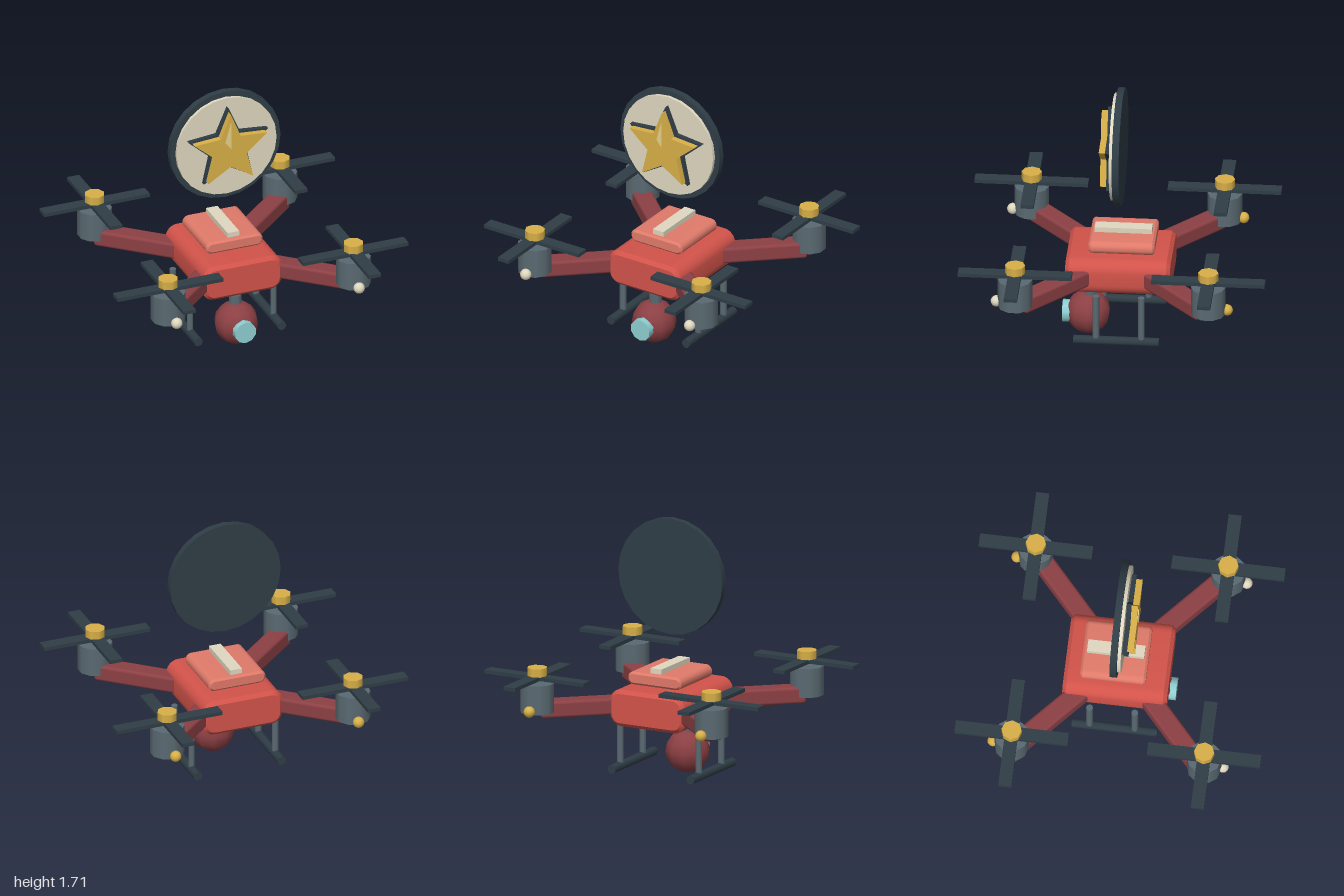
import * as THREE from 'three';
import { toCreasedNormals } from 'three/addons/utils/BufferGeometryUtils.js';
import { RoundedBoxGeometry } from 'three/addons/geometries/RoundedBoxGeometry.js';

const paint = (color) => new THREE.MeshStandardMaterial({ color });
const red = paint(0xd2534a), darkRed = paint(0x8c4044), coral = paint(0xe07a6a);
const dark = paint(0x2f3d46), steel = paint(0x5a6a72), gold = paint(0xd9b048);
const cream = paint(0xe0d8c0), glass = paint(0x8fcfd2), pale = paint(0xe6d28c);

function add(parent, name, geometry, material, x = 0, y = 0, z = 0) {
  const mesh = new THREE.Mesh(geometry, material);
  mesh.name = name;
  mesh.position.set(x, y, z);
  parent.add(mesh);
  return mesh;
}

// Cylinder lying along z
const rod = (r, length, sides) =>
  new THREE.CylinderGeometry(r, r, length, sides).rotateX(Math.PI / 2);

// Block with rounded profile in xy and bevelled front and back
function roundedBlock(w, h, d, radius, bevel) {
  const x = w / 2 - bevel, y = h / 2 - bevel, r = radius - bevel;
  const s = new THREE.Shape();
  s.absarc(x - r, y - r, r, 0, Math.PI / 2);
  s.absarc(r - x, y - r, r, Math.PI / 2, Math.PI);
  s.absarc(r - x, r - y, r, Math.PI, Math.PI * 1.5);
  s.absarc(x - r, r - y, r, Math.PI * 1.5, Math.PI * 2);
  const g = new THREE.ExtrudeGeometry(s, {
    depth: d - 2 * bevel, curveSegments: 3,
    bevelThickness: bevel, bevelSize: bevel, bevelSegments: 1,
  });
  return toCreasedNormals(g.translate(0, 0, bevel - d / 2), 0.6);
}

// Five-pointed star slab starting at z = 0
function star(outer, inner, depth) {
  const points = [];
  for (let i = 0; i < 10; i++) {
    const a = Math.PI / 2 + (i * Math.PI) / 5, r = i % 2 ? inner : outer;
    points.push(new THREE.Vector2(r * Math.cos(a), r * Math.sin(a)));
  }
  return new THREE.ExtrudeGeometry(new THREE.Shape(points), { depth, bevelEnabled: false });
}

// Arm, motor, propeller and marker light at one corner
function createRotor(sx, sz) {
  const g = new THREE.Group();
  g.name = 'rotorArm';
  const x = sx * 0.637, z = sz * 0.617;
  const dx = sx * 0.436, dz = sz * 0.391;
  const arm = add(g, 'arm', new RoundedBoxGeometry(0.127, 0.11, Math.hypot(dx, dz), 2, 0.02),
    darkRed, sx * 0.418, 0.512, sz * 0.392);
  arm.rotation.y = Math.atan2(dx, dz);
  add(g, 'motor', new THREE.CylinderGeometry(0.111, 0.111, 0.19, 10), steel, x, 0.595, z);
  add(g, 'bladePairAcross', new THREE.BoxGeometry(0.725, 0.024, 0.084), dark, x, 0.725, z);
  add(g, 'bladePairAlong', new THREE.BoxGeometry(0.084, 0.024, 0.725), dark, x, 0.725, z);
  add(g, 'hubCap', new THREE.CylinderGeometry(0.065, 0.065, 0.055, 8), gold, x, 0.763, z);
  add(g, 'markerLight', new THREE.SphereGeometry(0.037, 12, 8), sz > 0 ? cream : gold,
    sx * 0.627, 0.523, sz * 0.737);
  return g;
}

// Skid rail with two struts
function createSkid(side) {
  const g = new THREE.Group();
  g.name = 'landingSkid';
  const x = side * 0.287;
  add(g, 'rail', rod(0.03, 0.546, 8), dark, x, 0.087, 0);
  for (const z of [0.13, -0.16])
    add(g, 'strut', new THREE.CylinderGeometry(0.022, 0.022, 0.32, 8), steel, x, 0.243, z);
  return g;
}

// Ball camera on a short mount
function createCameraPod() {
  const g = new THREE.Group();
  g.name = 'cameraPod';
  add(g, 'mount', new THREE.CylinderGeometry(0.043, 0.043, 0.11, 8), steel, 0, 0.285, 0.19);
  add(g, 'ball', new THREE.SphereGeometry(0.143, 10, 8), darkRed, 0, 0.143, 0.203);
  add(g, 'lens', rod(0.073, 0.09, 10), glass, 0, 0.14, 0.32);
  return g;
}

// Round badge with layered star, hovering above the body
function createBadge() {
  const g = new THREE.Group();
  g.name = 'badge';
  g.position.y = 1.333;
  add(g, 'backDisc', rod(0.38, 0.044, 24), dark);
  add(g, 'faceDisc', rod(0.344, 0.024, 24), cream, 0, 0, 0.032);
  add(g, 'starBorder', star(0.287, 0.133, 0.032), dark, 0, 0, 0.043);
  add(g, 'star', star(0.261, 0.116, 0.042), gold, 0, 0, 0.074);
  const sliver = new THREE.Shape([[0, 0.2], [-0.038, 0.062], [0, 0.015]]
    .map(([x, y]) => new THREE.Vector2(x, y)));
  add(g, 'starHighlight', new THREE.ExtrudeGeometry(sliver, { depth: 0.006, bevelEnabled: false }),
    pale, 0, 0, 0.116);
  return g;
}

export function createModel() {
  const model = new THREE.Group();
  model.name = 'quadcopter';
  add(model, 'body', roundedBlock(0.545, 0.24, 0.67, 0.08, 0.024), red, 0, 0.512, -0.005);
  add(model, 'hatch', roundedBlock(0.39, 0.084, 0.42, 0.04, 0.014), coral, 0, 0.692, -0.024);
  add(model, 'hatchStrip', new THREE.BoxGeometry(0.08, 0.035, 0.366), cream, 0, 0.75, -0.024);
  for (const sx of [1, -1]) {
    for (const sz of [1, -1]) model.add(createRotor(sx, sz));
    model.add(createSkid(sx));
  }
  model.add(createCameraPod(), createBadge());
  return model;
}
